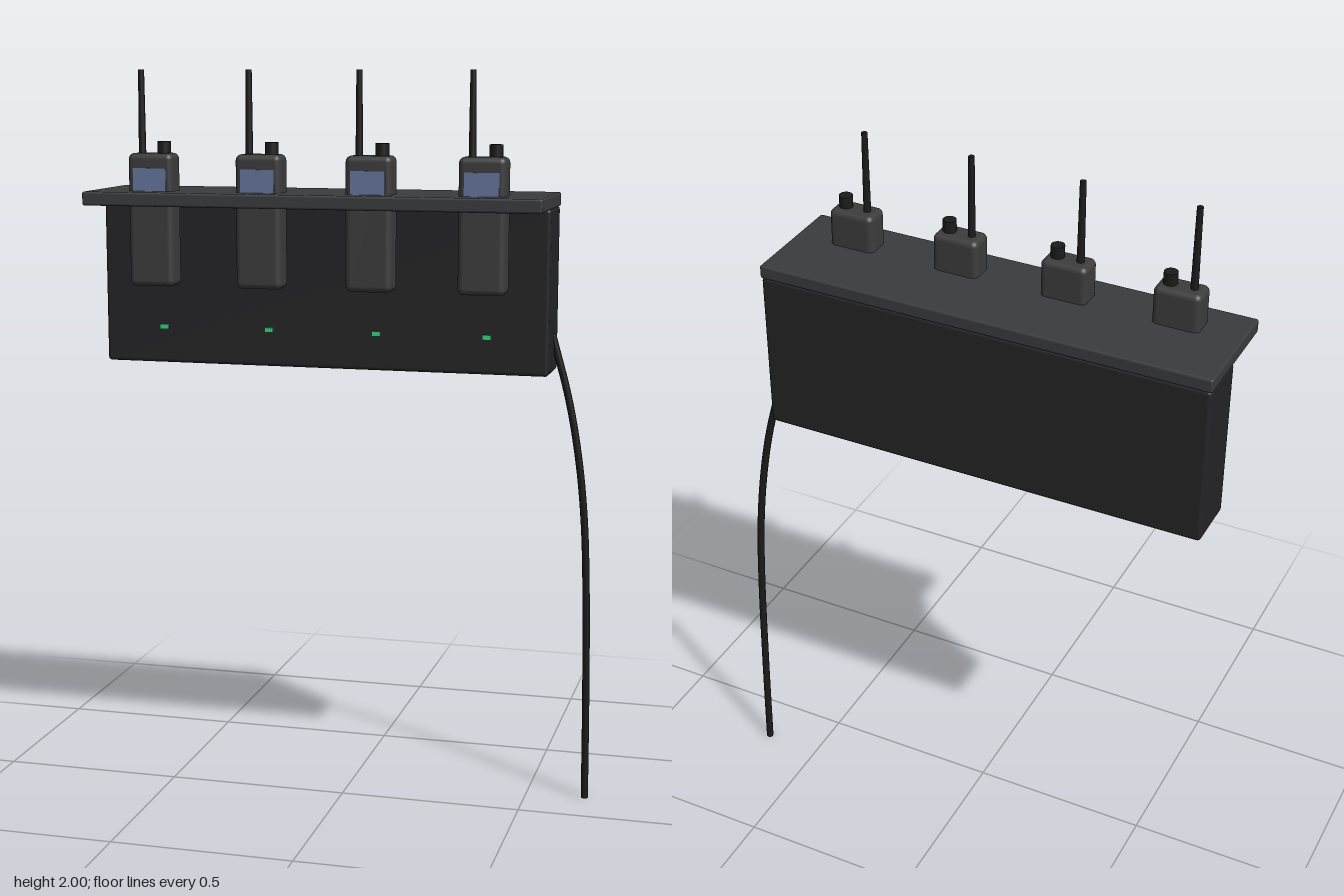
import * as THREE from 'three';
import { RoundedBoxGeometry } from 'three/addons/geometries/RoundedBoxGeometry.js';

const material = (color) => new THREE.MeshStandardMaterial({ color });

function part(parent, name, geometry, mat, x, y, z) {
  const mesh = new THREE.Mesh(geometry, mat);
  mesh.name = name;
  mesh.position.set(x, y, z);
  parent.add(mesh);
  return mesh;
}

export function createModel() {
  const model = new THREE.Group();
  model.name = 'radioChargingStation';

  const housingMat = material(0x242426);
  const shelfMat = material(0x3a3b3d);
  const radioMat = material(0x3c3c3d);
  const blackMat = material(0x1b1b1b);
  const screenMat = material(0x64749c);
  const ledMat = material(0x35d07a);

  // Wall housing and the overhanging shelf that holds the radios
  const centerX = -0.058;
  part(model, 'housing', new RoundedBoxGeometry(1.234, 0.44, 0.155, 3, 0.01), housingMat, centerX, 1.425, -0.078);
  part(model, 'shelf', new RoundedBoxGeometry(1.238, 0.037, 0.316, 2, 0.006), shelfMat, centerX, 1.662, 0.001);

  // Four radios with charge lights below
  const radioBody = new RoundedBoxGeometry(0.125, 0.355, 0.075, 4, 0.016);
  const screen = new THREE.BoxGeometry(0.092, 0.075, 0.006);
  const antenna = new THREE.CylinderGeometry(0.008, 0.01, 0.23, 16);
  const knob = new THREE.CylinderGeometry(0.018, 0.018, 0.04, 20);
  const led = new THREE.BoxGeometry(0.024, 0.013, 0.008);
  for (let i = 0; i < 4; i++) {
    const radio = new THREE.Group();
    radio.name = 'radio';
    radio.position.set(-0.506 + i * 0.3, 0, 0.062);
    part(radio, 'radioBody', radioBody, radioMat, 0, 1.603, 0);
    part(radio, 'screen', screen, screenMat, 0, 1.704, 0.037);
    part(radio, 'antenna', antenna, blackMat, -0.032, 1.885, 0);
    part(radio, 'volumeKnob', knob, blackMat, 0.03, 1.792, 0);
    model.add(radio);
    part(model, 'chargeLight', led, ledMat, radio.position.x, 1.305, 0.001);
  }

  // Power cable hanging from the side down to the floor
  const path = new THREE.CatmullRomCurve3([
    [0.555, 1.3, -0.1],
    [0.6, 1.13, -0.108],
    [0.629, 0.97, -0.113],
    [0.647, 0.8, -0.119],
    [0.656, 0.6, -0.125],
    [0.661, 0.3, -0.133],
    [0.663, 0, -0.141],
  ].map((p) => new THREE.Vector3(...p)));
  part(model, 'powerCable', new THREE.TubeGeometry(path, 48, 0.01, 12, false), blackMat, 0, 0, 0);

  // Caps closing the cable ends
  const cap = new THREE.SphereGeometry(0.01, 12, 8);
  part(model, 'cableTopCap', cap, blackMat, 0.555, 1.3, -0.1);
  const end = part(model, 'cableEndCap', new THREE.CircleGeometry(0.01, 12), blackMat, 0.663, 0, -0.141);
  end.rotation.x = Math.PI / 2;

  return model;
}
